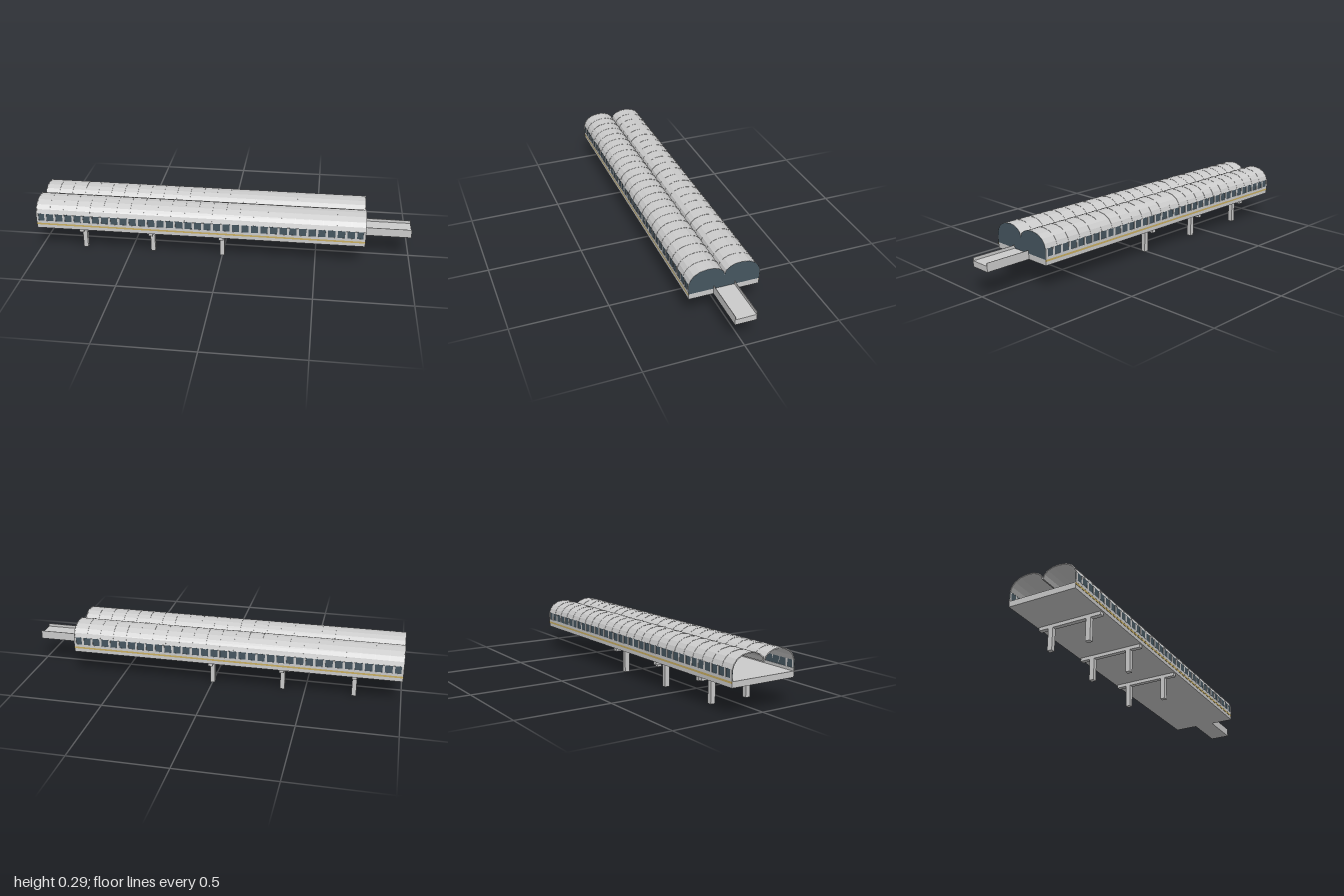
import * as THREE from 'three';

const X0 = -1, X1 = 0.755, LEN = X1 - X0, MID = (X0 + X1) / 2;
const mat = (color) => new THREE.MeshStandardMaterial({ color, flatShading: true, side: THREE.DoubleSide });

// Vault section (z, y) from the outer eave to the central valley
const VAULT = [[0.183, 0.221], [0.174, 0.245], [0.157, 0.266], [0.127, 0.282], [0.088, 0.288],
  [0.055, 0.286], [0.027, 0.275], [0.008, 0.259], [0, 0.237]];

// Moves the section toward (positive) or away from (negative) the vault's middle
const inset = (d) => VAULT.map(([z, y]) => {
  const dz = 0.09 - z, dy = 0.2 - y, l = Math.hypot(dz, dy);
  return [z + dz / l * d, y + dy / l * d];
});

// Extrudes a (z, y) outline along x
function extrudeX(points, x, length) {
  const shape = new THREE.Shape(points.map(([z, y]) => new THREE.Vector2(-z, y)));
  return new THREE.ExtrudeGeometry(shape, { depth: length, bevelEnabled: false })
    .rotateY(Math.PI / 2).translate(x, 0, 0);
}

export function createModel() {
  const root = new THREE.Group();
  root.name = 'elevatedStation';
  const grey = mat(0xcccccc), glass = mat(0x465660), gold = mat(0xc8ae62);

  const add = (parent, name, geometry, material = grey) => {
    const mesh = new THREE.Mesh(geometry, material);
    mesh.name = name;
    parent.add(mesh);
    return mesh;
  };
  const box = (parent, name, size, pos, material) => {
    const mesh = add(parent, name, new THREE.BoxGeometry(...size), material);
    mesh.position.set(...pos);
    return mesh;
  };

  // Platform deck
  box(root, 'deck', [LEN, 0.03, 0.364], [MID, 0.153, 0]);

  // Track trough leaving the closed end
  const trackLen = 1 - X1;
  box(root, 'trackBed', [trackLen, 0.03, 0.106], [X1 + trackLen / 2, 0.153, 0]);
  for (const s of [1, -1])
    box(root, 'trackParapet', [trackLen, 0.046, 0.003], [X1 + trackLen / 2, 0.161, s * 0.0535]);

  // Three cross beams, each on two columns
  for (const x of [-0.757, -0.38, 0]) {
    const pier = new THREE.Group();
    pier.name = 'pier';
    pier.position.x = x;
    root.add(pier);
    box(pier, 'crossBeam', [0.024, 0.018, 0.348], [0, 0.129, 0]);
    for (const s of [1, -1]) box(pier, 'column', [0.024, 0.122, 0.026], [0, 0.061, s * 0.106]);
  }

  // Side walls with stripe, window band and mullions
  const WINDOWS = 35, pitch = LEN / WINDOWS;
  for (const s of [1, -1]) {
    const wall = new THREE.Group();
    wall.name = s > 0 ? 'frontWall' : 'backWall';
    root.add(wall);
    box(wall, 'sill', [LEN, 0.014, 0.006], [MID, 0.175, s * 0.181]);
    box(wall, 'stripe', [LEN, 0.01, 0.003], [MID, 0.163, s * 0.182], gold);
    box(wall, 'windowBand', [LEN, 0.04, 0.003], [MID, 0.202, s * 0.1815], glass);
    for (let i = 0; i <= WINDOWS; i++) {
      const x = Math.min(X1 - 0.006, Math.max(X0 + 0.006, X0 + i * pitch));
      box(wall, 'mullion', [0.012, 0.04, 0.005], [x, 0.202, s * 0.1825]);
    }
  }

  // Twin barrel roofs with thin ribs
  const RIBS = 24;
  const shell = [...VAULT, ...inset(0.004).reverse()];
  const rib = [...inset(-0.0012), ...inset(0.002).reverse()];
  for (const s of [1, -1]) {
    const flip = (pts) => pts.map(([z, y]) => [s * z, y]);
    const roof = new THREE.Group();
    roof.name = s > 0 ? 'frontVault' : 'backVault';
    root.add(roof);
    add(roof, 'roofShell', extrudeX(flip(shell), X0, LEN));
    for (let i = 0; i <= RIBS; i++)
      add(roof, 'roofRib', extrudeX(flip(rib), X0 + i * (LEN - 0.004) / RIBS, 0.004));
  }

  // Glazed end wall filling both vaults
  const half = [[0.182, 0.168], ...VAULT];
  const gable = [...half, ...half.slice(0, -1).reverse().map(([z, y]) => [-z, y])];
  add(root, 'endGlazing', extrudeX(gable, X1 - 0.004, 0.0045), glass);

  return root;
}
